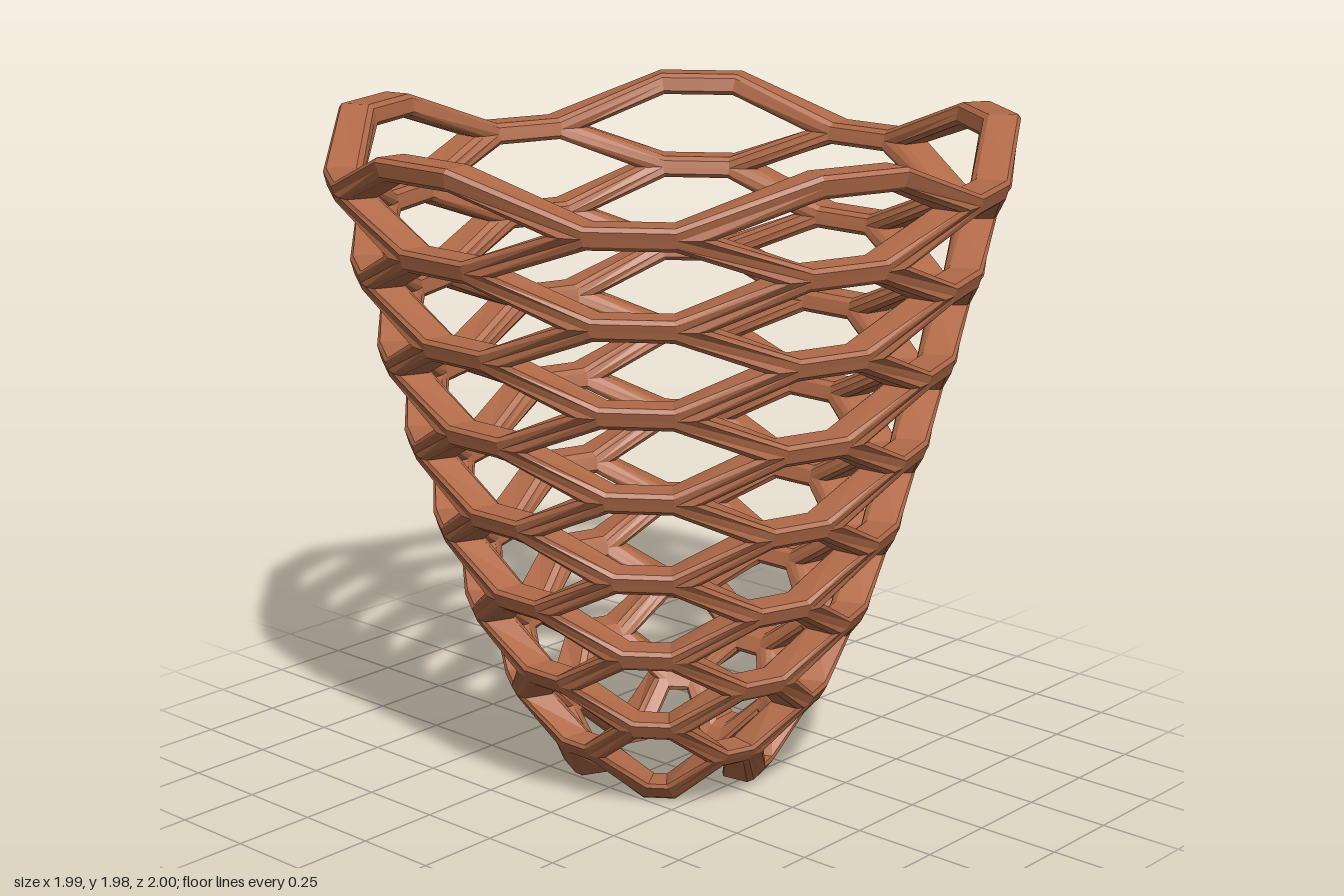
import * as THREE from 'three';

const LEVELS = 16, COLUMNS = 5;
const Y0 = 0.032, STEP = 0.1274;            // height of the lowest bars, rise per level
const PITCH = Math.PI * 2 / COLUMNS;        // angle between columns of cells
const FLAT = PITCH * 0.1;                   // half angle of a horizontal bar
const SIDE = PITCH * 0.4;                   // half angle of a whole cell
const W = 0.032, DEPTH = 0.11, BEVEL = 0.012;
const SHIFT = 0.015;                        // centres the staggered rim on x

// Outer radius of the cup at each level
const RADII = [0.317, 0.41, 0.483, 0.547, 0.602, 0.65, 0.691, 0.731,
  0.77, 0.807, 0.843, 0.879, 0.913, 0.948, 0.982, 1.014];
function radiusAt(y) {
  const t = (y - Y0) / STEP;
  const i = THREE.MathUtils.clamp(Math.floor(t), 0, LEVELS - 2);
  return RADII[i] + (RADII[i + 1] - RADII[i]) * (t - i);
}

// Half of a bar's section: [sideways offset from the centre line, depth inwards]
const SECTION = [[0, 0], [W - BEVEL, 0], [W, BEVEL], [W, DEPTH - BEVEL], [W - BEVEL, DEPTH], [0, DEPTH]];

const node = (angle, level) => ({ a: angle, y: Y0 + level * STEP });
const columnAngle = (level, j) => (j + (level % 2) / 2) * PITCH;
const wrap = a => Math.atan2(Math.sin(a), Math.cos(a));

// Sweeps the half section along the left side of a closed path on the wall, with mitred corners
function sweepHalfBars(path) {
  const n = path.length;
  const rows = path.map((p, i) => {
    const prev = path[(i + n - 1) % n], next = path[(i + 1) % n];
    const r = radiusAt(p.y);
    const d1 = new THREE.Vector2(wrap(p.a - prev.a) * r, p.y - prev.y).normalize();
    const d2 = new THREE.Vector2(wrap(next.a - p.a) * r, next.y - p.y).normalize();
    const miter = new THREE.Vector2(-d1.y - d2.y, d1.x + d2.x).divideScalar(1 + d1.dot(d2));
    return SECTION.map(([off, depth]) => {
      const a = p.a + miter.x * off / r, y = p.y + miter.y * off;
      const rad = radiusAt(y) - depth;
      return [Math.cos(a) * rad + SHIFT, y, -Math.sin(a) * rad];
    });
  });
  const pos = [];
  for (let i = 0; i < n; i++) {
    const A = rows[i], B = rows[(i + 1) % n];
    for (let s = 0; s < SECTION.length - 1; s++) {
      pos.push(...A[s], ...B[s], ...B[s + 1], ...A[s], ...B[s + 1], ...A[s + 1]);
    }
  }
  const g = new THREE.BufferGeometry();
  g.setAttribute('position', new THREE.Float32BufferAttribute(pos, 3));
  g.computeVertexNormals();
  return g;
}

// Zigzag round the cup between two neighbouring levels
function zigzag(levelA, levelB) {
  const path = [];
  for (let j = 0; j < COLUMNS; j++) {
    const ends = [levelA, levelB].map(l => [columnAngle(l, j), l]).sort((p, q) => p[0] - q[0]);
    for (const [a, l] of ends) path.push(node(a - FLAT, l), node(a + FLAT, l));
  }
  return path;
}

export function createModel() {
  const group = new THREE.Group();
  group.name = 'latticeCup';
  const material = new THREE.MeshStandardMaterial({ color: 0xb06a48, flatShading: true });
  const add = (name, geometry, parent) => {
    const mesh = new THREE.Mesh(geometry, material);
    mesh.name = name;
    parent.add(mesh);
  };

  // Rings of hexagonal openings, each lined by its half of the surrounding bars
  for (let k = 1; k < LEVELS - 1; k++) {
    const ring = new THREE.Group();
    ring.name = 'cellRing' + k;
    for (let j = 0; j < COLUMNS; j++) {
      const c = columnAngle(k - 1, j);
      add('hexCell', sweepHalfBars([
        node(c - FLAT, k - 1), node(c + FLAT, k - 1), node(c + SIDE, k),
        node(c + FLAT, k + 1), node(c - FLAT, k + 1), node(c - SIDE, k),
      ]), ring);
    }
    group.add(ring);
  }

  // Outward halves of the wavy top rim and of the foot
  add('topRim', sweepHalfBars(zigzag(LEVELS - 2, LEVELS - 1)), group);
  add('footRim', sweepHalfBars(zigzag(0, 1).reverse()), group);
  return group;
}
